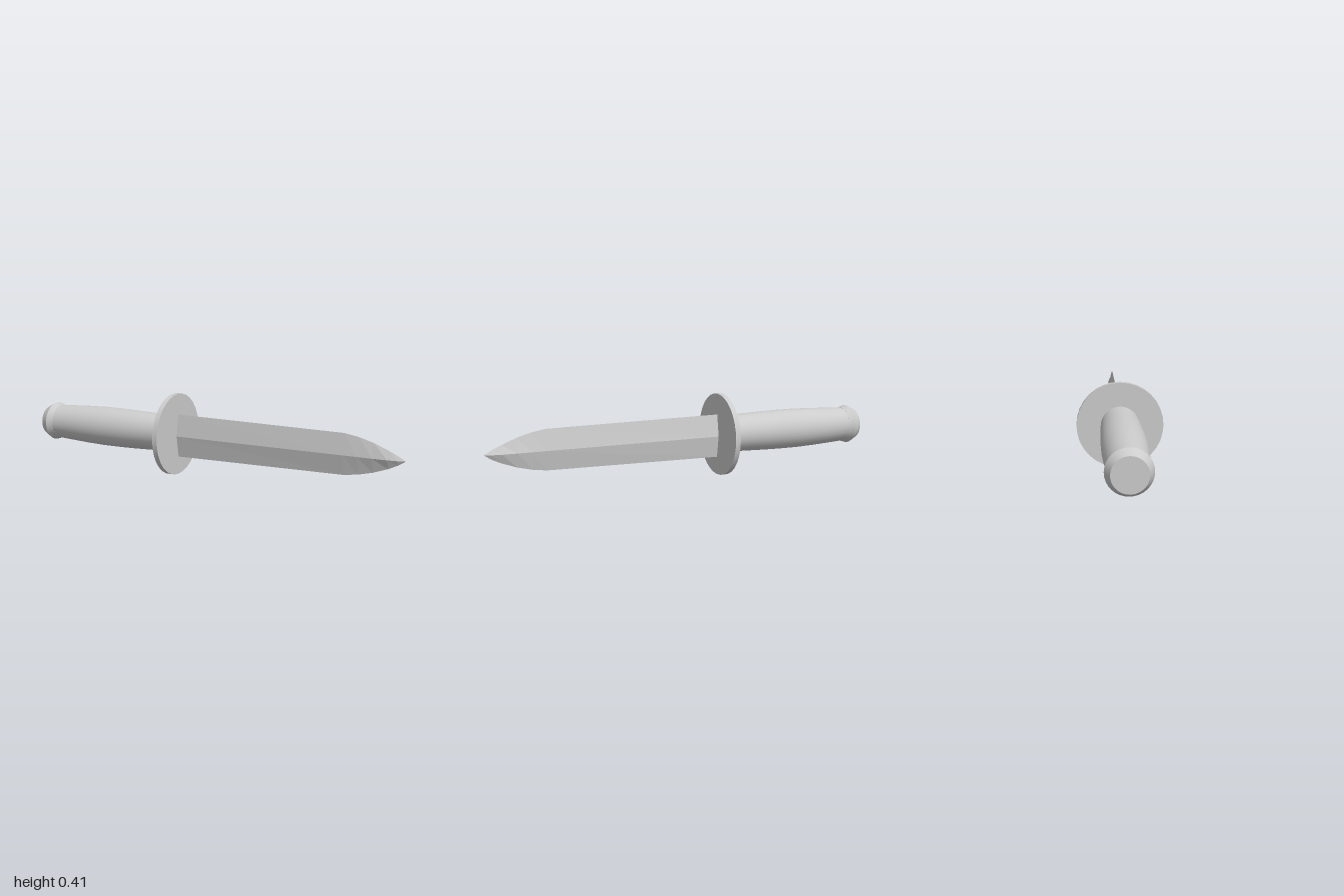
import * as THREE from 'three';
import { toCreasedNormals } from 'three/addons/utils/BufferGeometryUtils.js';

const material = new THREE.MeshStandardMaterial({ color: 0xcccccc });
const AXIS_Y = 0.2075;

// Solid of revolution about the x axis; profile is [x, radius] from pommel to tip
function turned(name, profile) {
  const points = profile.map(([x, r]) => new THREE.Vector2(r, x));
  const geometry = toCreasedNormals(new THREE.LatheGeometry(points, 32), 0.35);
  geometry.rotateZ(-Math.PI / 2);
  geometry.translate(0, AXIS_Y, 0);
  const mesh = new THREE.Mesh(geometry, material);
  mesh.name = name;
  return mesh;
}

// Diamond cross-sections [x, top edge, bottom edge, half thickness] joined to a point
function bladeGeometry() {
  const ridge = 0.198;
  const sections = [
    [-0.19, 0.309, 0.09, 0.018],
    [0.71, 0.3, 0.102, 0.018],
    [0.78, 0.288, 0.112, 0.018],
    [0.85, 0.268, 0.129, 0.018],
    [0.92, 0.24, 0.154, 0.017],
    [0.965, 0.219, 0.175, 0.01],
    [1, 0.198, 0.198, 0],
  ];
  const rings = sections.map(([x, top, bottom, t]) => [
    [x, top, 0], [x, ridge, t], [x, bottom, 0], [x, ridge, -t],
  ]);
  const positions = [];
  const triangle = (a, b, c) => positions.push(...a, ...b, ...c);
  const last = rings.length - 1;
  for (let i = 0; i < last; i++) {
    for (let j = 0; j < 4; j++) {
      const k = (j + 1) % 4;
      const [a, b, c, d] = [rings[i][j], rings[i][k], rings[i + 1][k], rings[i + 1][j]];
      triangle(a, b, c);
      if (i < last - 1) triangle(a, c, d);
    }
  }
  // Base cap
  const [top, front, bottom, back] = rings[0];
  triangle(top, bottom, front);
  triangle(top, back, bottom);
  const geometry = new THREE.BufferGeometry();
  geometry.setAttribute('position', new THREE.Float32BufferAttribute(positions, 3));
  geometry.computeVertexNormals();
  return geometry;
}

export function createModel() {
  const model = new THREE.Group();
  model.name = 'dagger';

  // Swelling grip and flared pommel
  model.add(turned('grip', [
    [-0.93, 0], [-0.93, 0.089], [-0.84, 0.094], [-0.74, 0.099], [-0.64, 0.102],
    [-0.54, 0.102], [-0.44, 0.1], [-0.32, 0.096], [-0.2, 0.092], [-0.2, 0],
  ]));
  model.add(turned('pommel', [
    [-1, 0], [-1, 0.078], [-0.955, 0.101], [-0.92, 0.09], [-0.92, 0],
  ]));

  // Round disc guard
  model.add(turned('guard', [
    [-0.204, 0], [-0.204, 0.2075], [-0.178, 0.2075], [-0.178, 0],
  ]));

  // Double-edged blade
  const blade = new THREE.Mesh(bladeGeometry(), material);
  blade.name = 'blade';
  model.add(blade);
  return model;
}
